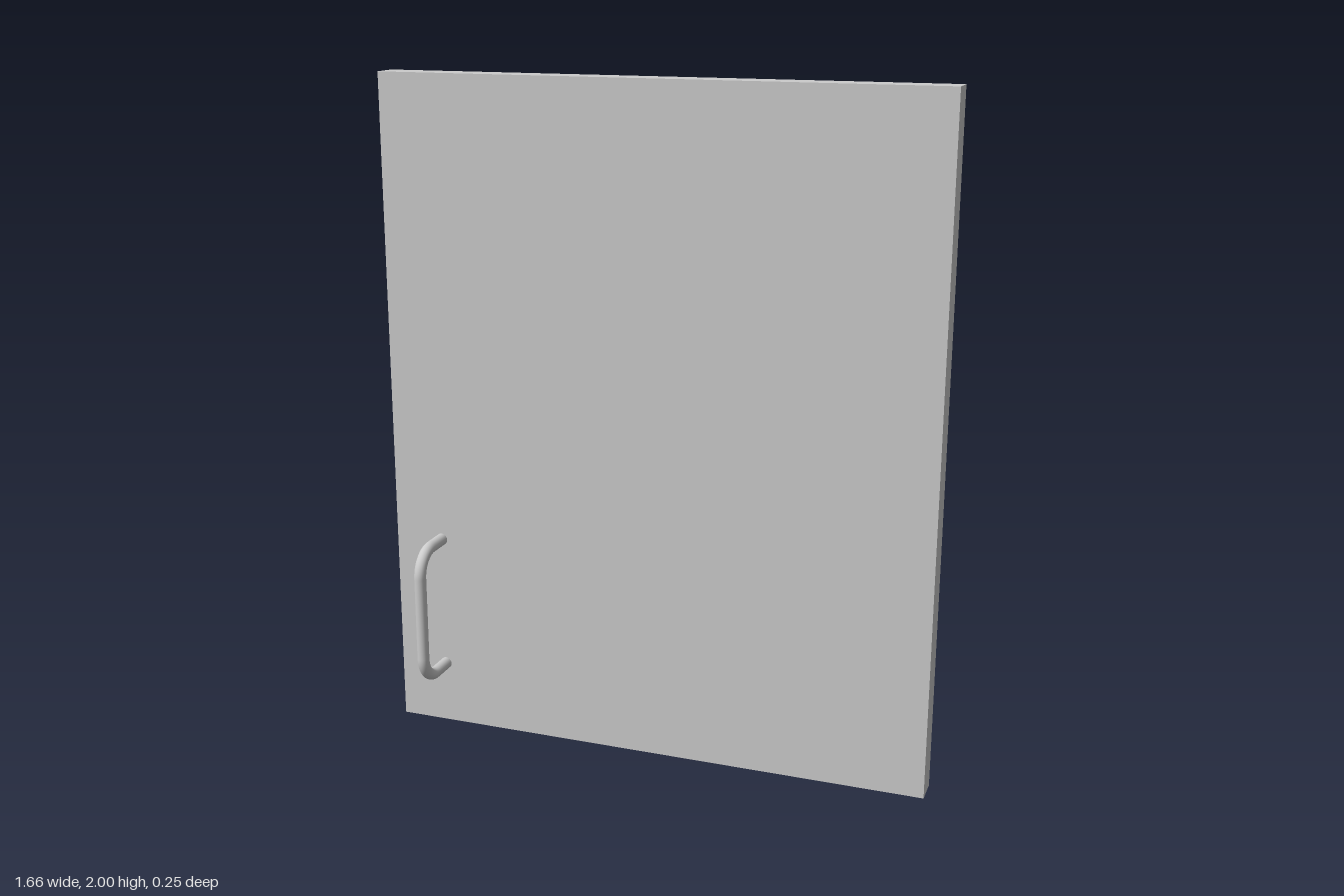
import * as THREE from 'three';

const DOOR = { width: 1.66, height: 2, back: -0.125, front: -0.042 };
const HANDLE = { x: -0.68, bottom: 0.193, top: 0.603, reach: 0.107, bar: 0.018, bend: 0.075 };

// Centre line of the pull: out from the door, down, and back in, with rounded bends
function handlePath() {
  const { x, bottom, top, reach, bend } = HANDLE;
  const p = (y, z) => new THREE.Vector3(x, y, z);
  const root = DOOR.front - 0.01;
  const path = new THREE.CurvePath();
  path.add(new THREE.LineCurve3(p(top, root), p(top, reach - bend)));
  path.add(new THREE.CubicBezierCurve3(
    p(top, reach - bend), p(top, reach - bend * 0.45),
    p(top - bend * 0.45, reach), p(top - bend, reach)));
  path.add(new THREE.LineCurve3(p(top - bend, reach), p(bottom + bend, reach)));
  path.add(new THREE.CubicBezierCurve3(
    p(bottom + bend, reach), p(bottom + bend * 0.45, reach),
    p(bottom, reach - bend * 0.45), p(bottom, reach - bend)));
  path.add(new THREE.LineCurve3(p(bottom, reach - bend), p(bottom, root)));
  return path;
}

export function createModel() {
  const model = new THREE.Group();
  model.name = 'cabinetDoor';
  const material = new THREE.MeshStandardMaterial({ color: 0xcccccc });

  // Flat door panel
  const panel = new THREE.Mesh(
    new THREE.BoxGeometry(DOOR.width, DOOR.height, DOOR.front - DOOR.back), material);
  panel.name = 'doorPanel';
  panel.position.set(0, DOOR.height / 2, (DOOR.front + DOOR.back) / 2);
  model.add(panel);

  // Round bar pull, its ends sunk into the panel
  const handle = new THREE.Mesh(
    new THREE.TubeGeometry(handlePath(), 72, HANDLE.bar, 20), material);
  handle.name = 'handle';
  model.add(handle);

  return model;
}
